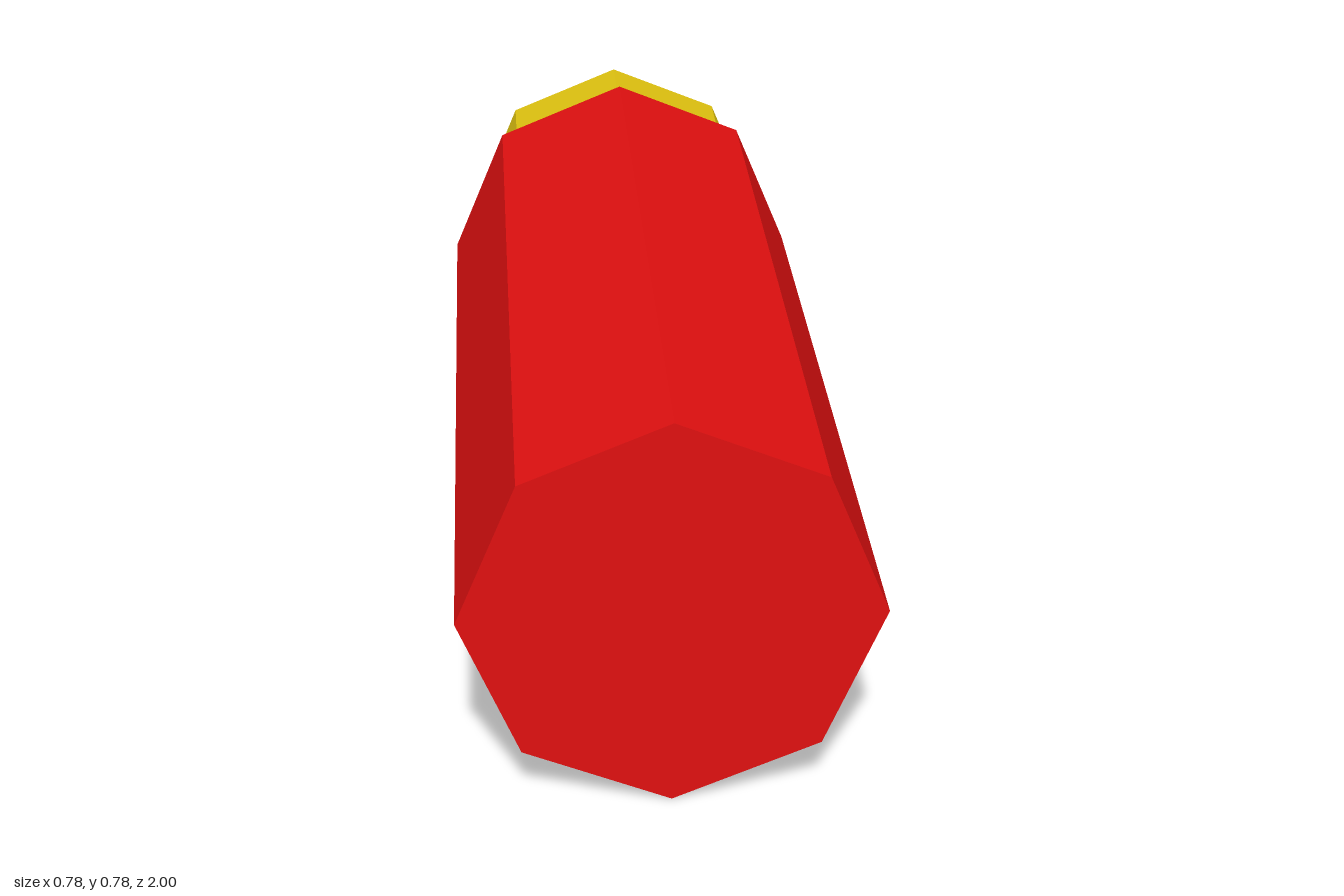
import * as THREE from 'three';

const mat = (name, color) => {
  const m = new THREE.MeshStandardMaterial({ color });
  m.name = name;
  m.flatShading = true;
  return m;
};

export function createModel() {
  const group = new THREE.Group();
  group.name = 'cartridge';
  const red = mat('red', 0xe01010);
  const black = mat('black', 0x0e0e0e);
  const brass = mat('brass yellow', 0xe0c310);

  // Octagonal section along z, from zBack to zFront
  const section = (name, material, rBack, rFront, zBack, zFront, open = false) => {
    const geo = new THREE.CylinderGeometry(rFront, rBack, zFront - zBack, 8, 1, open);
    geo.rotateX(Math.PI / 2);
    const mesh = new THREE.Mesh(geo, material);
    mesh.name = name;
    mesh.position.set(0, 0.39, (zBack + zFront) / 2);
    group.add(mesh);
  };

  section('body', red, 0.39, 0.39, -0.735, 1);
  // Tapered shoulder and narrow neck behind the body
  section('shoulder', black, 0.28, 0.39, -0.772, -0.735, true);
  section('neck', black, 0.28, 0.28, -0.81, -0.772, true);
  // Wide end cap
  section('endCap', brass, 0.341, 0.341, -1, -0.81);

  return group;
}
